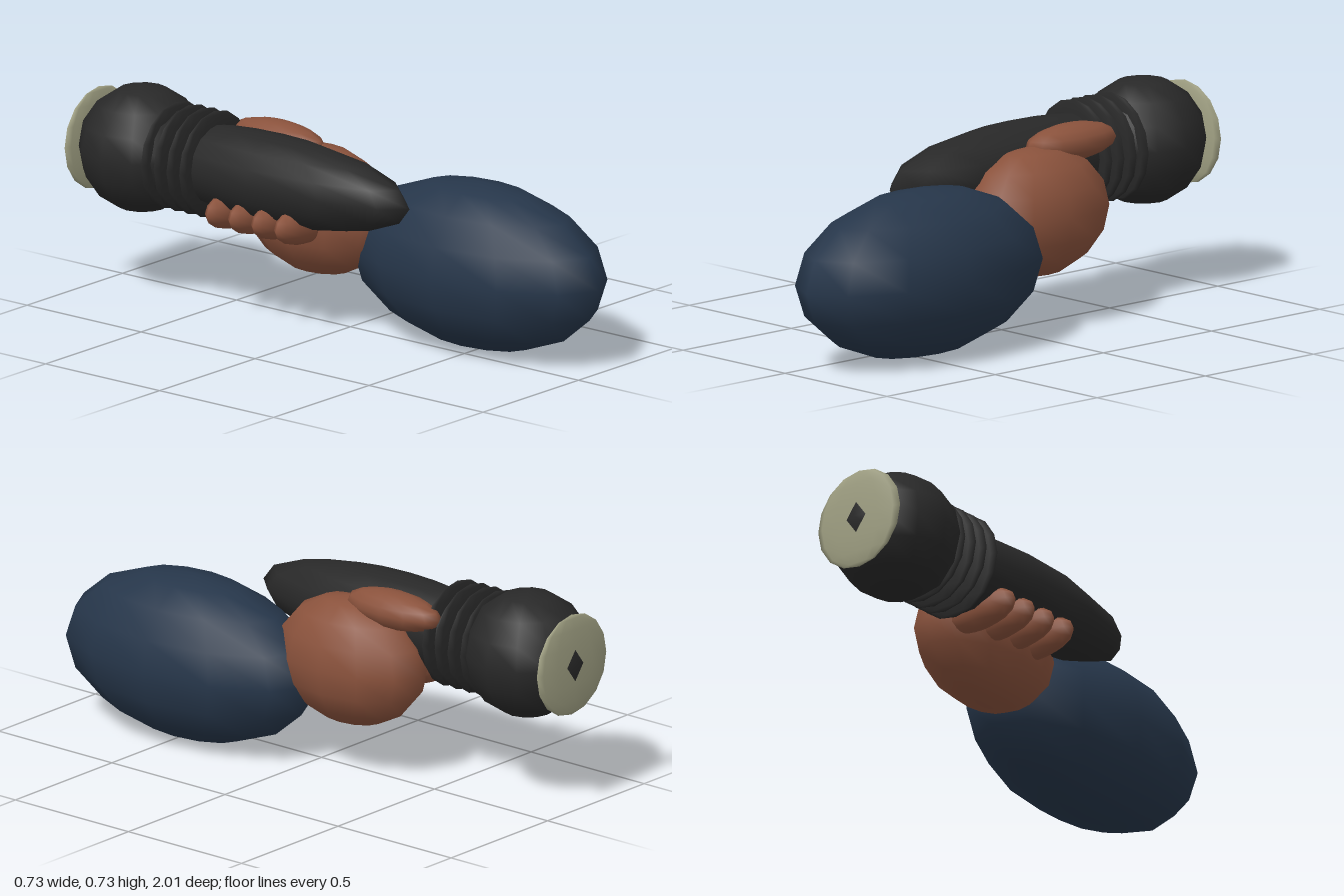
import * as THREE from 'three';

const mat = (name, color) => {
  const m = new THREE.MeshStandardMaterial({ color });
  m.name = name;
  return m;
};

export function createModel() {
  const group = new THREE.Group();
  group.name = 'handHoldingFlashlight';

  const navy = mat('navyCloth', 0x26364a);
  const skin = mat('brownSkin', 0x8a523c);
  const black = mat('blackPlastic', 0x282828);
  const pale = mat('paleLens', 0xa0a083);

  // Every part is a stretched low-poly ball
  const ball = new THREE.SphereGeometry(1, 12, 8);
  const add = (name, material, position, radii) => {
    const mesh = new THREE.Mesh(ball, material);
    mesh.name = name;
    mesh.position.set(...position);
    mesh.scale.set(...radii);
    group.add(mesh);
  };

  // Arm and hand
  add('sleeve', navy, [0.105, 0.29, 0.48], [0.26, 0.288, 0.52]);
  add('palm', skin, [0.01, 0.39, -0.145], [0.18, 0.225, 0.3]);
  add('thumb', skin, [0, 0.602, -0.32], [0.08, 0.065, 0.2]);
  for (let i = 0; i < 4; i++) {
    add(`finger${i + 1}`, skin, [-0.155, 0.39, -0.065 - i * 0.101], [0.16, 0.07, 0.05]);
  }

  // Flashlight: handle, grip rings, head and lens
  const x = -0.145, y = 0.516;
  add('handle', black, [x, y, -0.22], [0.15, 0.152, 0.6]);
  for (let i = 0; i < 4; i++) {
    add(`gripRing${i + 1}`, black, [x, y, -0.477 - i * 0.056], [0.183, 0.185, 0.018]);
  }
  add('head', black, [x, y, -0.79], [0.22, 0.22, 0.22]);
  add('lens', pale, [x, y, -0.982], [0.18, 0.178, 0.018]);

  return group;
}
